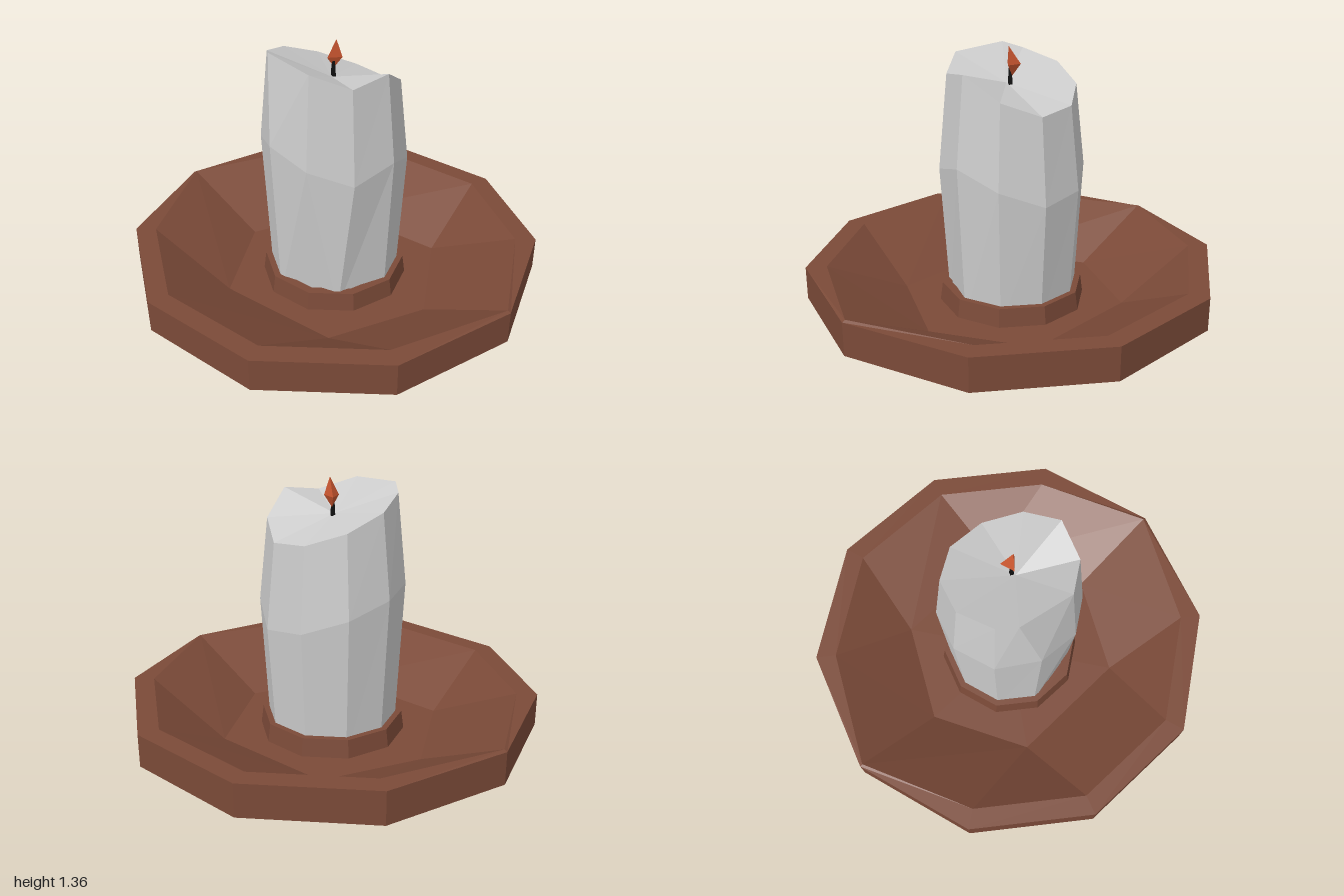
import * as THREE from 'three';

const SIDES = 10;
const rad = (deg) => (deg * Math.PI) / 180;
const ANGLES = Array.from({ length: SIDES }, (_, i) => 18 + 36 * i);

// Point at an angle measured from +x towards +z
const polar = (deg, r, y) => new THREE.Vector3(r * Math.cos(rad(deg)), y, r * Math.sin(rad(deg)));

// Ring of points; angle, radius and height may each be one value or one per side
const at = (v, i) => (Array.isArray(v) ? v[i] : v);
const ring = (r, y, angles = ANGLES) => angles.map((a, i) => polar(a, at(r, i), at(y, i)));
const point = (x, y, z, n = SIDES) => Array.from({ length: n }, () => new THREE.Vector3(x, y, z));

// Faceted skin through successive rings; triangles that collapse are skipped
function loft(rings) {
  const pos = [];
  const tri = (a, b, c) => {
    const area = b.clone().sub(a).cross(c.clone().sub(a)).length();
    if (area > 1e-7) pos.push(...a.toArray(), ...b.toArray(), ...c.toArray());
  };
  for (let k = 0; k < rings.length - 1; k++) {
    const lo = rings[k], hi = rings[k + 1], n = lo.length;
    for (let i = 0; i < n; i++) {
      const j = (i + 1) % n;
      tri(lo[i], hi[i], lo[j]);
      tri(hi[i], hi[j], lo[j]);
    }
  }
  const geo = new THREE.BufferGeometry();
  geo.setAttribute('position', new THREE.Float32BufferAttribute(pos, 3));
  geo.computeVertexNormals();
  return geo;
}

export function createModel() {
  const group = new THREE.Group();
  const add = (name, geo, color) => {
    const mesh = new THREE.Mesh(geo, new THREE.MeshStandardMaterial({ color, flatShading: true }));
    mesh.name = name;
    group.add(mesh);
    return mesh;
  };
  const brown = 0x7b4a38;

  // Dish: ten-sided rim running into a six-sided foot and floor
  const hex = [17, 72, 72, 141, 141, 197, 252, 252, 320, 320];
  const innerR = ANGLES.map((_, i) => (i % 5 === 0 ? 0.985 : 0.9));
  const innerY = ANGLES.map((_, i) => (i % 5 === 0 ? 0.318 : 0.31));
  add('dish', loft([
    point(0, 0, 0),
    ring(0.54, 0, hex),
    ring(1, 0.15),
    ring(1, 0.31),
    ring(innerR, innerY),
    ring(0.545, 0.1, hex),
    point(0, 0.1, 0),
  ]), brown);

  // Collar that holds the candle
  add('collar', loft([
    ring(0.36, 0.08),
    ring(0.345, 0.19),
    ring(0.3, 0.19),
    ring(0.3, 0.08),
  ]), brown);

  // Candle: bulging uneven sides and a slanted, sunken top
  add('candle', loft([
    point(0, 0.09, 0),
    ring(0.31, 0.09, [18, 66, 66, 126, 162, 198, 234, 270, 306, 342]),
    ring(0.347, [0.84, 0.78, 0.85, 0.91, 0.86, 0.84, 0.78, 0.71, 0.68, 0.76]),
    ring(
      0.303,
      [1.265, 1.235, 1.3, 1.32, 1.29, 1.24, 1.17, 1.11, 1.09, 1.16],
      [18, 54, 90, 143, 162, 198, 234, 270, 306, 342],
    ),
    point(0, 1.18, 0.03),
  ]), 0xcccccc);

  // Wick
  const wick = add('wick', new THREE.CylinderGeometry(0.008, 0.014, 0.1, 4), 0x111111);
  wick.position.set(0, 1.2, 0.01);

  // Three-sided flame
  add('flame', loft([
    point(0, 1.215, 0, 3),
    ring(0.04, 1.27, [0, 120, 240]),
    point(0.015, 1.355, 0.01, 3),
  ]), 0xc8552f);

  return group;
}
